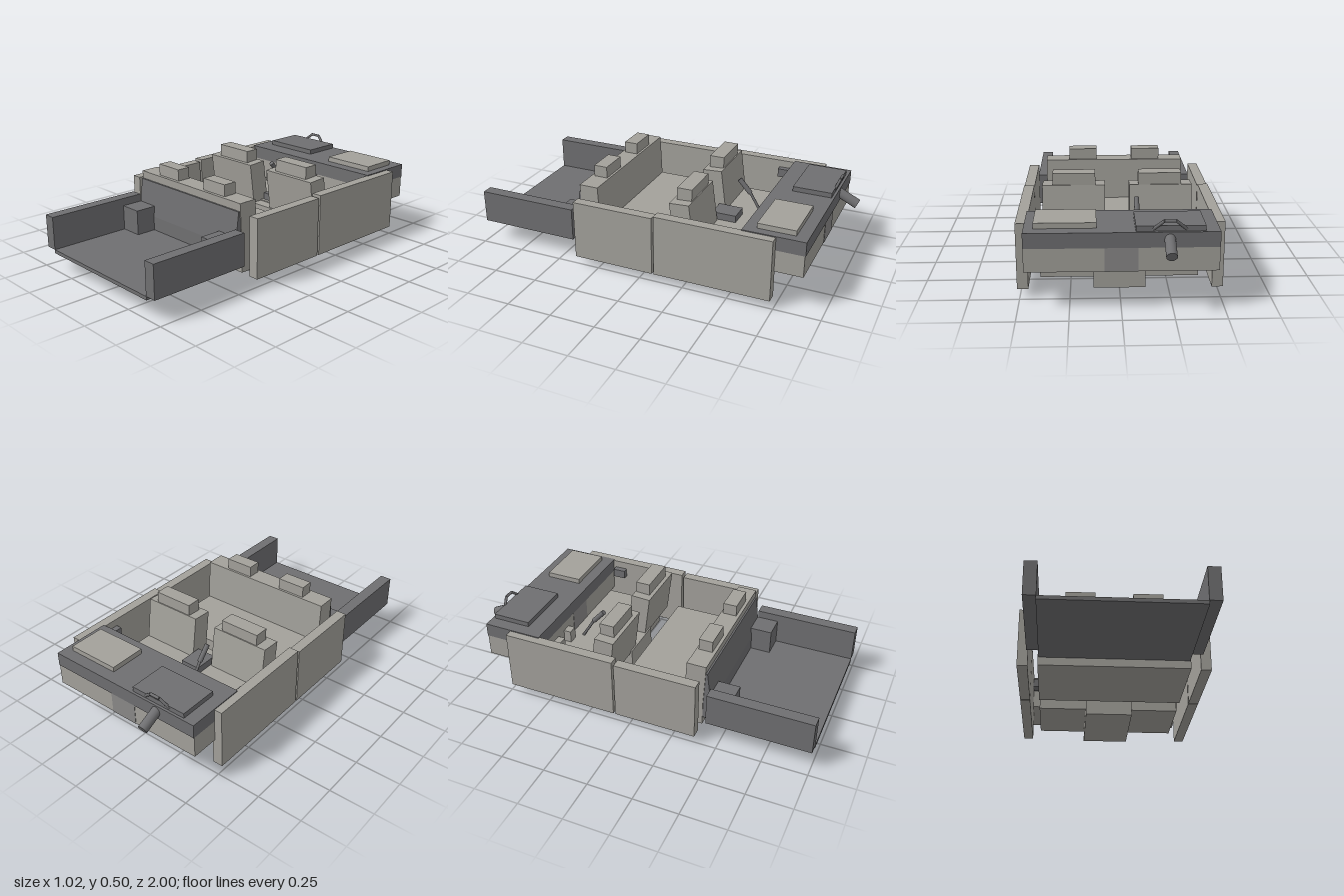
import * as THREE from 'three';

export function createModel() {
  const model = new THREE.Group();
  model.name = 'carInterior';
  const mat = (name, color) => {
    const m = new THREE.MeshStandardMaterial({ color });
    m.name = name;
    return m;
  };
  const light = mat('lightTrim', 0xa3a19b);
  const dark = mat('darkTrim', 0x6f6f71);
  const mid = mat('midTrim', 0x8a8988);

  const add = (name, geometry, material) => {
    const mesh = new THREE.Mesh(geometry, material);
    mesh.name = name;
    model.add(mesh);
    return mesh;
  };
  // Box given by its minimum and maximum on each axis
  const box = (name, material, x0, x1, y0, y1, z0, z1) => {
    const mesh = add(name, new THREE.BoxGeometry(x1 - x0, y1 - y0, z1 - z0), material);
    mesh.position.set((x0 + x1) / 2, (y0 + y1) / 2, (z0 + z1) / 2);
    return mesh;
  };
  const pair = (name, material, x0, x1, ...rest) => {
    box(name + 'Left', material, x0, x1, ...rest);
    box(name + 'Right', material, -x1, -x0, ...rest);
  };
  // Side section of [z, y] points, extruded across x
  const section = (name, material, x0, x1, points) => {
    const shape = new THREE.Shape(points.map(([z, y]) => new THREE.Vector2(-z, y)));
    const g = new THREE.ExtrudeGeometry(shape, { depth: x1 - x0, bevelEnabled: false });
    g.rotateY(Math.PI / 2).translate(x0, 0, 0);
    return add(name, g, material);
  };
  // Round bar between two points
  const rod = (name, material, a, b, radius, sides = 12) => {
    const p = new THREE.Vector3(...a), q = new THREE.Vector3(...b);
    const mesh = add(name, new THREE.CylinderGeometry(radius, radius, p.distanceTo(q), sides), material);
    mesh.position.copy(p).add(q).multiplyScalar(0.5);
    mesh.quaternion.setFromUnitVectors(new THREE.Vector3(0, 1, 0), q.sub(p).normalize());
    return mesh;
  };

  // Doors and inner handles
  pair('frontDoor', light, 0.456, 0.512, 0.05, 0.392, -0.735, -0.092);
  pair('rearDoor', light, 0.456, 0.512, 0.05, 0.38, -0.08, 0.382);
  pair('doorHandle', dark, 0.422, 0.457, 0.3, 0.35, -0.54, -0.468);

  // Boot
  box('bootFloor', dark, -0.4, 0.4, 0.1, 0.12, 0.42, 1);
  pair('bootWall', dark, 0.398, 0.463, 0.12, 0.303, 0.425, 1);
  pair('bootCorner', dark, 0.27, 0.399, 0.12, 0.26, 0.4, 0.545);
  section('bootBulkhead', dark, -0.4, 0.4, [[0.38, 0.1], [0.43, 0.1], [0.43, 0.2], [0.405, 0.392], [0.38, 0.392]]);

  // Rear bench
  box('rearCushion', light, -0.404, 0.404, 0.055, 0.2, -0.092, 0.385);
  section('rearBackrest', light, -0.404, 0.404, [[0.278, 0.19], [0.385, 0.19], [0.398, 0.436], [0.29, 0.436]]);
  pair('rearHeadrest', light, 0.104, 0.268, 0.43, 0.5, 0.303, 0.38);

  // Front seats and central tunnel
  box('frontCushion', light, -0.404, 0.404, 0.055, 0.2, -0.6, -0.22);
  box('tunnel', light, -0.133, 0.133, 0, 0.195, -0.62, -0.155);
  for (const [side, x0] of [['Left', 0.065], ['Right', -0.405]]) {
    section('frontBackrest' + side, light, x0, x0 + 0.338,
      [[-0.278, 0.18], [-0.165, 0.18], [-0.133, 0.43], [-0.244, 0.436]]);
  }
  pair('frontHeadrest', light, 0.117, 0.347, 0.425, 0.5, -0.238, -0.155);
  box('armrest', dark, -0.06, 0.055, 0.19, 0.24, -0.38, -0.24);

  // Gear lever
  rod('gearLever', dark, [-0.1, 0.2, -0.485], [-0.1, 0.345, -0.395], 0.008, 8);
  rod('gearKnob', dark, [-0.1, 0.32, -0.41], [-0.1, 0.395, -0.343], 0.014, 10);

  // Dashboard
  box('dashTop', dark, -0.468, 0.465, 0.32, 0.397, -0.89, -0.555);
  box('dashLower', light, -0.468, 0.465, 0.2, 0.32, -0.886, -0.558);
  box('centreConsole', mid, -0.08, 0.08, 0.2, 0.32, -0.888, -0.556);
  box('gloveBox', light, 0.12, 0.42, 0.183, 0.22, -0.79, -0.72);
  box('passengerPanel', light, 0.117, 0.418, 0.39, 0.425, -0.825, -0.62);
  box('instrumentPanel', dark, -0.398, -0.067, 0.39, 0.424, -0.876, -0.66);
  box('pedalOuter', light, -0.312, -0.26, 0.2, 0.27, -0.57, -0.516);
  box('pedalInner', light, -0.196, -0.142, 0.2, 0.27, -0.57, -0.516);

  // Steering column and thin wheel bar
  rod('steeringColumn', dark, [-0.228, 0.368, -0.87], [-0.228, 0.31, -0.987], 0.027, 16);
  const bar = [[-0.308, 0.405, -0.87], [-0.255, 0.452, -0.887], [-0.2, 0.452, -0.887], [-0.147, 0.405, -0.87]];
  for (let i = 0; i < 3; i++) rod('wheelBar' + (i + 1), dark, bar[i], bar[i + 1], 0.008, 8);

  return model;
}
